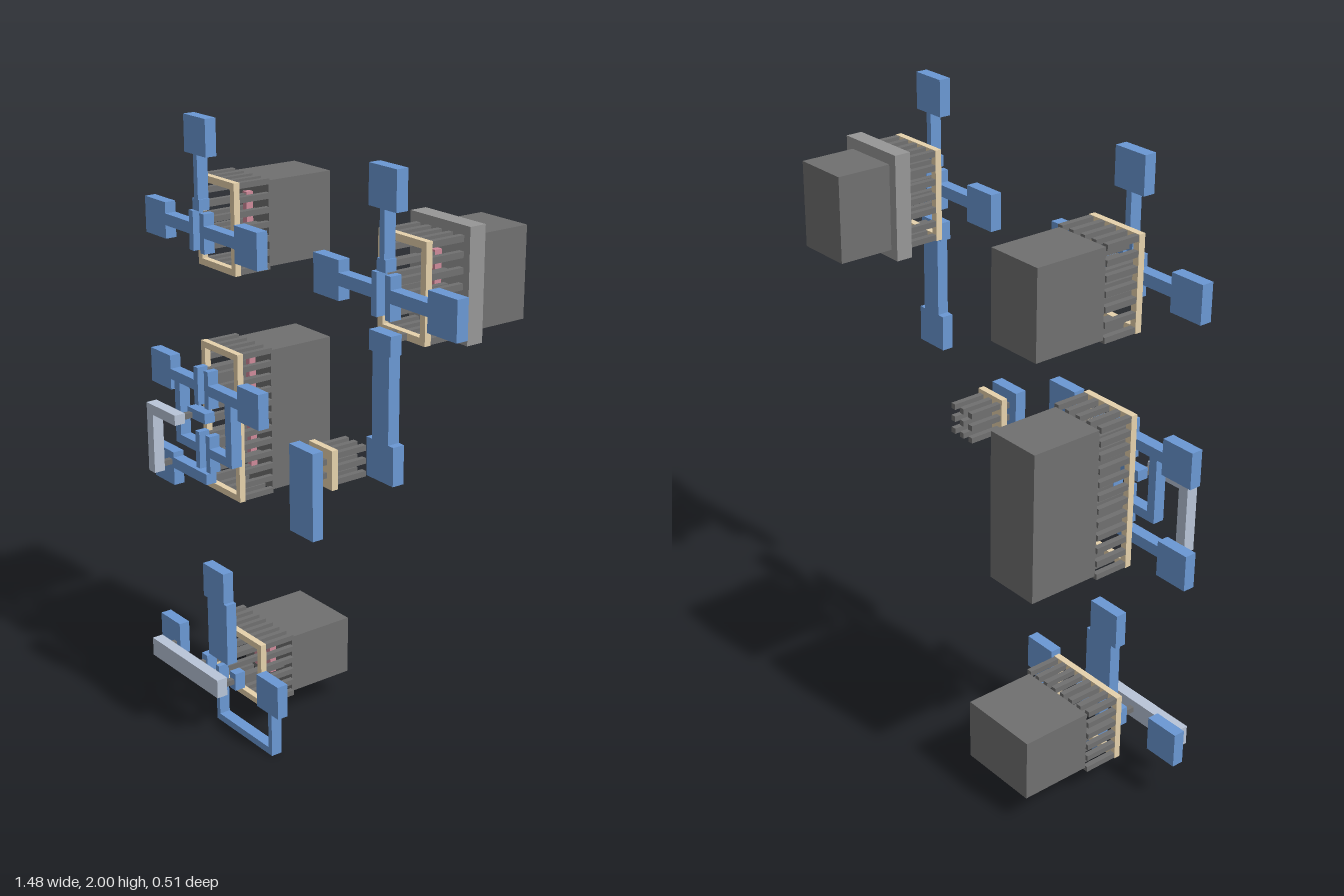
import * as THREE from 'three';

const mat = (color) => new THREE.MeshStandardMaterial({ color });
const BLUE = mat(0x6a98d4), LIGHT = mat(0xb9c5d8), TAN = mat(0xe6d2ac);
const DARK = mat(0x707070), GREY = mat(0x979797), PINK = mat(0xcf8a9a);

// Layer depths [back, front]
const Z = {
  well: [-0.258, -0.024], deepWell: [-0.258, -0.078], tub: [-0.078, -0.024],
  gate: [-0.024, 0], tap: [-0.024, 0.087], contact: [-0.024, 0.14],
  ring: [0.087, 0.108], link: [0.108, 0.14], metal: [0.141, 0.179],
  via: [0.179, 0.214], upper: [0.214, 0.252],
};
const ROD = 0.018, RIM = 0.021;

// Box given by its x and y limits and its layer
function slab(parent, name, material, layer, x0, x1, y0, y1) {
  const [z0, z1] = Z[layer];
  const mesh = new THREE.Mesh(new THREE.BoxGeometry(x1 - x0, y1 - y0, z1 - z0), material);
  mesh.position.set((x0 + x1) / 2, (y0 + y1) / 2, (z0 + z1) / 2);
  mesh.name = name;
  parent.add(mesh);
}

function rod(parent, name, layer, x, y) {
  const h = ROD / 2;
  slab(parent, name, DARK, layer, x - h, x + h, y - h, y + h);
}

function metal(parent, name, ...rects) {
  rects.forEach((r) => slab(parent, name, BLUE, 'metal', ...r));
}

// Rectangular guard ring standing on evenly spaced rods
function guardRing(parent, x0, x1, y0, y1) {
  const shape = new THREE.Shape([[x0, y0], [x1, y0], [x1, y1], [x0, y1]].map((p) => new THREE.Vector2(...p)));
  const a = x0 + RIM, b = x1 - RIM, c = y0 + RIM, d = y1 - RIM;
  shape.holes.push(new THREE.Path([[a, c], [a, d], [b, d], [b, c]].map((p) => new THREE.Vector2(...p))));
  const ring = new THREE.Mesh(
    new THREE.ExtrudeGeometry(shape, { depth: Z.ring[1] - Z.ring[0], bevelEnabled: false }), TAN);
  ring.position.z = Z.ring[0];
  ring.name = 'guardRing';
  parent.add(ring);
  const m = RIM / 2, w = x1 - x0 - RIM, h = y1 - y0 - RIM;
  const nx = Math.round(w / 0.041), ny = Math.round(h / 0.041);
  for (let i = 0; i <= nx; i++) {
    for (const y of [y0 + m, y1 - m]) rod(parent, 'ringRod', 'tap', x0 + m + (w * i) / nx, y);
  }
  for (let j = 1; j < ny; j++) {
    for (const x of [x0 + m, x1 - m]) rod(parent, 'ringRod', 'tap', x, y0 + m + (h * j) / ny);
  }
}

// Upright transistor: gate strip between two metal bars with contact rods
function transistor(parent, x, y, gateEnd) {
  const g0 = y - 0.075, g1 = y + 0.075;
  slab(parent, 'gate', PINK, 'gate', x - 0.01, x + 0.01, Math.min(g0, gateEnd), Math.max(g1, gateEnd));
  for (const s of [-1, 1]) {
    const cx = x + s * 0.029;
    metal(parent, 'contactBar', [cx - 0.011, cx + 0.011, y - 0.062, y + 0.062]);
    for (const dy of [-0.041, 0, 0.041]) rod(parent, 'contactRod', 'contact', cx, y + dy);
  }
  rod(parent, 'gateRod', 'contact', x, gateEnd + (gateEnd > y ? -0.015 : 0.015));
}

// Single device with three pads
function singleDevice(name, x, padX) {
  const g = new THREE.Group();
  g.name = name;
  guardRing(g, x - 0.1, x + 0.1, 1.52, 1.806);
  transistor(g, x, 1.65, 1.75);
  metal(g, 'pad',
    [padX - 0.3, padX - 0.185, 1.595, 1.71],
    [padX + 0.188, padX + 0.303, 1.595, 1.71],
    [x - 0.054, x + 0.061, 1.886, 2]);
  metal(g, 'arm',
    [padX - 0.185, x - 0.04, 1.638, 1.675],
    [x + 0.04, padX + 0.188, 1.638, 1.675],
    [x - 0.007, x + 0.013, 1.75, 1.886],
    [x - 0.018, x + 0.018, 1.717, 1.752]);
  return g;
}

// Tall device with two transistors wired in parallel
function doubleDevice() {
  const g = new THREE.Group(), x = -0.454;
  g.name = 'doubleDevice';
  slab(g, 'well', DARK, 'well', -0.546, -0.361, 0.79, 1.26);
  guardRing(g, -0.555, -0.354, 0.779, 1.271);
  transistor(g, x, 1.152, 1.035);
  transistor(g, x, 0.938, 0.83);
  metal(g, 'pad',
    [-0.742, -0.628, 1.1, 1.214], [-0.256, -0.145, 1.1, 1.214], [-0.742, -0.628, 0.77, 0.884]);
  metal(g, 'arm',
    [-0.628, -0.49, 1.136, 1.17], [-0.418, -0.256, 1.136, 1.17], [-0.628, -0.438, 0.83, 0.866],
    [-0.607, -0.578, 0.93, 1.136], [-0.578, -0.49, 0.93, 0.96],
    [-0.325, -0.293, 0.93, 1.136], [-0.418, -0.325, 0.93, 0.96],
    [-0.535, -0.438, 1.036, 1.07]);
  slab(g, 'upperTrace', LIGHT, 'upper', -0.663, -0.628, 0.83, 1.064);
  slab(g, 'upperTrace', LIGHT, 'upper', -0.628, -0.498, 1.03, 1.064);
  rod(g, 'via', 'via', -0.645, 0.85);
  rod(g, 'via', 'via', -0.517, 1.047);
  return g;
}

// Wide device with two gate fingers
function fingerDevice() {
  const g = new THREE.Group();
  g.name = 'fingerDevice';
  slab(g, 'well', DARK, 'well', -0.533, -0.265, 0.097, 0.297);
  guardRing(g, -0.544, -0.254, 0.085, 0.31);
  for (const x of [-0.434, -0.366]) {
    slab(g, 'gate', PINK, 'gate', x - 0.011, x + 0.011, 0.135, 0.255);
    rod(g, 'gateRod', 'contact', x, 0.241);
  }
  for (const x of [-0.48, -0.403, -0.316]) rod(g, 'contactRod', 'contact', x, 0.18);
  for (const x of [-0.48, -0.316]) {
    metal(g, 'contactPad', [x - 0.016, x + 0.016, 0.15, 0.21]);
    rod(g, 'via', 'via', x, 0.18);
  }
  rod(g, 'via', 'via', -0.657, 0.18);
  slab(g, 'upperTrace', LIGHT, 'upper', -0.684, -0.297, 0.148, 0.212);
  metal(g, 'pad',
    [-0.742, -0.628, 0.148, 0.262], [-0.18, -0.065, 0.148, 0.262], [-0.473, -0.357, 0.43, 0.546]);
  metal(g, 'arm',
    [-0.452, -0.343, 0.225, 0.44], [-0.412, -0.394, 0, 0.2],
    [-0.394, -0.119, 0, 0.024], [-0.119, -0.1, 0, 0.148]);
  return g;
}

// Lone plate joined to a small grid of rods
function tapBlock() {
  const g = new THREE.Group();
  g.name = 'tapBlock';
  metal(g, 'plate', [0.01, 0.124, 0.829, 1.107]);
  slab(g, 'tapPlate', TAN, 'ring', 0.012, 0.125, 0.975, 1.1);
  for (const x of [0.027, 0.068, 0.109]) {
    for (const y of [0.996, 1.037, 1.078]) rod(g, 'tapRod', 'tap', x, y);
  }
  for (const x of [0.047, 0.09]) {
    for (const y of [1.016, 1.058]) rod(g, 'linkRod', 'link', x, y);
  }
  return g;
}

export function createModel() {
  const model = new THREE.Group();
  model.name = 'circuitLayout';

  const left = singleDevice('leftDevice', -0.454, -0.442);
  slab(left, 'well', DARK, 'well', -0.546, -0.361, 1.53, 1.797);

  // Right device sits in a grey tub and has a ground strap below
  const right = singleDevice('rightDevice', 0.429, 0.432);
  slab(right, 'deepWell', DARK, 'deepWell', 0.336, 0.521, 1.53, 1.797);
  slab(right, 'tub', GREY, 'tub', 0.306, 0.551, 1.502, 1.831);
  metal(right, 'strap',
    [0.38, 0.473, 1.49, 1.548], [0.396, 0.467, 1.237, 1.49], [0.373, 0.489, 1.122, 1.237]);
  for (const x of [0.407, 0.447]) rod(right, 'linkRod', 'link', x, 1.531);

  model.add(left, right, doubleDevice(), fingerDevice(), tapBlock());
  return model;
}
